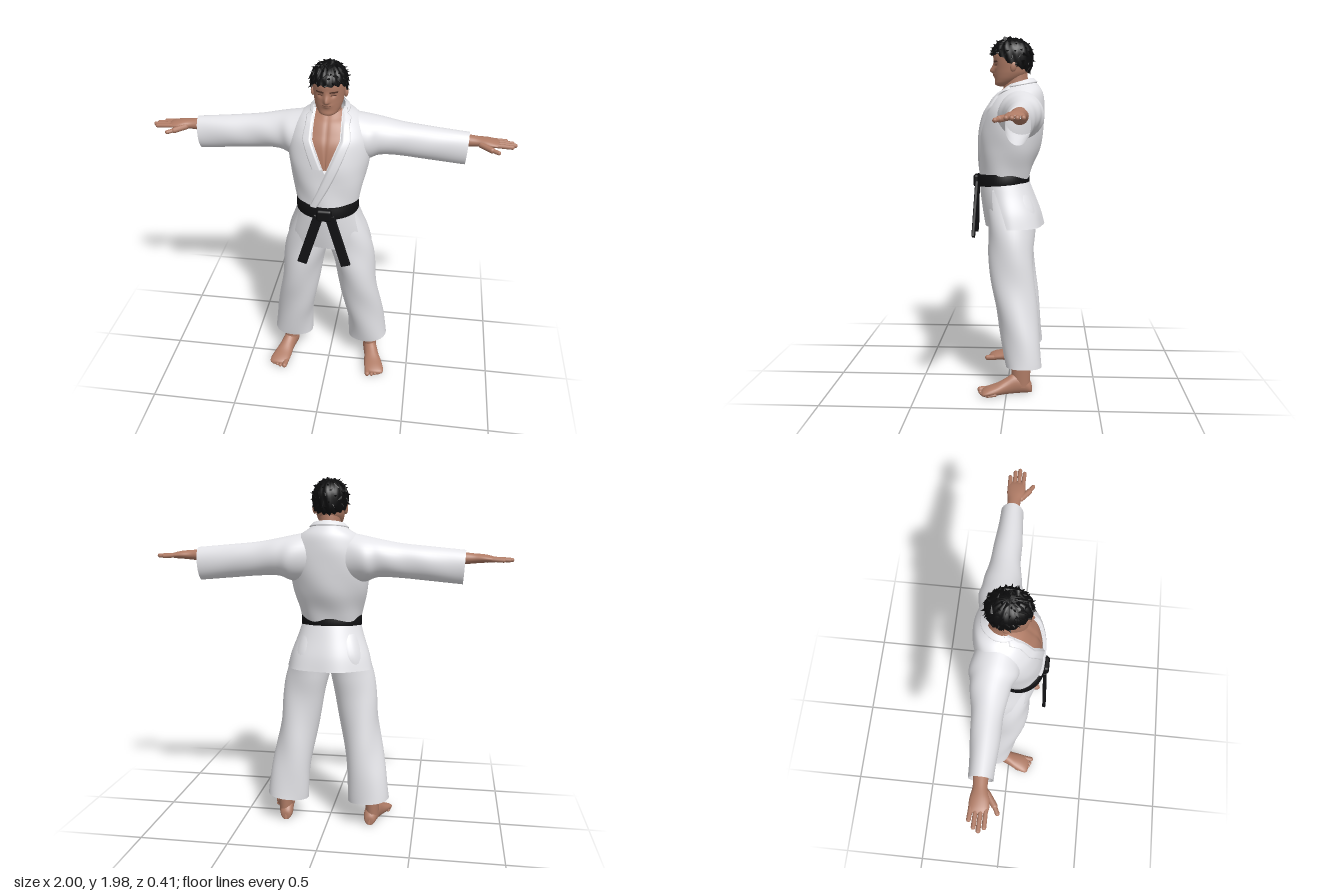
import * as THREE from 'three';
import { mergeVertices } from 'three/addons/utils/BufferGeometryUtils.js';
import { RoundedBoxGeometry } from 'three/addons/geometries/RoundedBoxGeometry.js';

const TAU = Math.PI * 2, { sin, cos, abs, min, max, exp } = Math;
const mat = (name, color, side = THREE.FrontSide) => {
  const m = new THREE.MeshStandardMaterial({ color, side });
  m.name = name;
  return m;
};

// Smooth sample of a table of cross-sections, v from 0 to 1
function at(rows, v) {
  const n = rows.length - 1, f = min(max(v, 0) * n, n - 1e-6), i = Math.floor(f), t = f - i;
  const [a, b, c, d] = [rows[max(i - 1, 0)], rows[i], rows[i + 1], rows[min(i + 2, n)]];
  return b.map((_, k) => b[k] + 0.5 * t * (c[k] - a[k] + t * (2 * a[k] - 5 * b[k] + 4 * c[k] - d[k]
    + t * (3 * (b[k] - c[k]) + d[k] - a[k]))));
}

// Surface from fn(u, v) -> [x, y, z]; seams are welded for smooth normals
function surf(fn, cols, rows) {
  const pos = [], idx = [], w = cols + 1;
  for (let j = 0; j <= rows; j++) for (let i = 0; i <= cols; i++) pos.push(...fn(i / cols, j / rows));
  for (let j = 0; j < rows; j++) for (let i = 0; i < cols; i++) {
    const a = j * w + i;
    idx.push(a, a + 1, a + w + 1, a, a + w + 1, a + w);
  }
  let g = new THREE.BufferGeometry();
  g.setAttribute('position', new THREE.Float32BufferAttribute(pos, 3));
  g.setIndex(idx);
  g = mergeVertices(g, 1e-5);
  g.computeVertexNormals();
  return g;
}
const mirrored = (fn) => (u, v) => { const [x, y, z] = fn(1 - u, v); return [-x, y, z]; };

// Upright section rows [y, halfWidth, zFront, zBack, frontDrop]; angle 0 faces the front
const body = (rows) => (th, v, off = 0) => {
  const [y, hw, zf, zb, drop = 0] = at(rows, v);
  return [(hw + off) * sin(th), y - drop * (1 + cos(th)) / 2, (zf + zb) / 2 + ((zf - zb) / 2 + off) * cos(th)];
};

export function createModel() {
  const root = new THREE.Group();
  const cloth = mat('white cloth', 0xe8e8ec, THREE.DoubleSide);
  const skin = mat('skin', 0xb07c66, THREE.DoubleSide);
  const black = mat('black belt cloth', 0x111113, THREE.DoubleSide);
  const hairMat = mat('black hair', 0x0b0b0c, THREE.DoubleSide);
  const brown = mat('brow brown', 0x5a3a2e, THREE.DoubleSide);
  const add = (name, geo, m, parent = root) => {
    const mesh = new THREE.Mesh(geo, m);
    mesh.name = name;
    parent.add(mesh);
    return mesh;
  };
  const pair = (name, fn, cols, rows, m) => {
    add('left ' + name, surf(fn, cols, rows), m);
    add('right ' + name, surf(mirrored(fn), cols, rows), m);
  };
  const capsule = (name, a, b, r, flat, m) => {
    const p = new THREE.Vector3(...a), q = new THREE.Vector3(...b), d = q.clone().sub(p);
    const mesh = add(name, new THREE.CapsuleGeometry(r, d.length(), 5, 10), m);
    mesh.position.copy(p).add(q).multiplyScalar(0.5);
    mesh.quaternion.setFromUnitVectors(new THREE.Vector3(0, 1, 0), d.normalize());
    mesh.scale.z = flat;
  };

  // Jacket body with an open V at the chest
  const torsoRows = [[1.16, .163, .168, -.11, 0], [1.25, .182, .165, -.135, 0], [1.35, .207, .164, -.175, 0],
    [1.45, .222, .16, -.195, 0], [1.55, .222, .14, -.203, 0], [1.62, .205, .108, -.2, .01],
    [1.675, .165, .078, -.19, .02], [1.715, .115, .052, -.165, .035], [1.75, .082, .03, -.13, .05]];
  const torso = body(torsoRows);
  const edge = (v, dx = 0) => {
    const [y, hw] = at(torsoRows, v);
    return Math.asin(max(-1, min(.92, (min(.075, .42 * (y - 1.41)) + dx) / hw)));
  };
  add('jacket body', surf((u, v) => {
    const e = max(0, edge(v)), th = e + u * (TAU - 2 * e);
    return torso(th, v, .003 * sin(th * 5 + v * 17) * (1 - v));
  }, 72, 48), cloth);
  add('chest', surf((u, v) => {
    const w = .35 + v * .65, e = max(0, edge(w)) * 1.15;
    return torso((u * 2 - 1) * e, w, -.008 - .004 * exp(-(((u - .5) * 14) ** 2)));
  }, 20, 30), skin);

  // Lapels: the left one crosses over and runs down to the belt
  const lapel = (v0, lift) => (u, v) => {
    const w = v0 + v * (1 - v0), a = edge(w), b = max(edge(w, .042), a + .3);
    return torso(a + (b - a) * u, w, -.006 + lift * min(1, 6 * min(u, 1 - u)));
  };
  add('left lapel', surf(lapel(.02, .018), 12, 48), cloth);
  add('right lapel', surf(mirrored(lapel(.36, .014)), 12, 36), cloth);
  add('collar', surf((u, v) => {
    const w = .9 + .1 * v, e = edge(w);
    return torso(e + u * (TAU - 2 * e), w, .01 * min(1, v * 5));
  }, 40, 8), cloth);

  // Jacket skirt: front and back panels with a slit on each side
  const skirt = body([[.92, .245, .13, -.203], [1.0, .226, .145, -.183], [1.1, .19, .16, -.145], [1.19, .162, .168, -.11]]);
  const slit = (v) => .24 * Math.sqrt(max(0, 1 - v / .78));
  const wave = (th, v) => .005 * sin(th * 6) * (1 - v);
  add('front skirt panel', surf((u, v) => {
    const th = (u * 2 - 1) * (1.12 - slit(v));
    return skirt(th, v, wave(th, v));
  }, 36, 24), cloth);
  add('back skirt panel', surf((u, v) => {
    const e = 1.12 + slit(v), th = e + u * (TAU - 2 * e);
    return skirt(th, v, wave(th, v));
  }, 48, 24), cloth);

  // Sleeves, rows [x, yTop, yBottom, zFront, zBack]
  const sleeveRows = [[.08, 1.69, 1.42, .06, -.18], [.2, 1.667, 1.415, .05, -.2], [.28, 1.65, 1.442, .02, -.188],
    [.4, 1.628, 1.44, 0, -.168], [.56, 1.612, 1.426, -.008, -.153], [.74, 1.595, 1.41, -.018, -.142]];
  pair('sleeve', (u, v) => {
    const [x, t, b, f, k] = at(sleeveRows, v), a = u * TAU, w = 1 + .02 * sin(a * 2 + v * 22);
    return [x + .006 * cos(a) * v, (t + b) / 2 + (t - b) / 2 * cos(a), (f + k) / 2 + (f - k) / 2 * sin(a) * w];
  }, 36, 40, cloth);

  // Trouser legs, rows [y, xInner, xOuter, zFront, zBack]
  const legRows = [[.15, .122, .36, .002, -.196], [.3, .112, .336, .03, -.187], [.45, .09, .31, .06, -.17],
    [.6, .065, .287, .088, -.153], [.75, .035, .272, .104, -.146], [.88, .002, .25, .11, -.152],
    [1.0, -.02, .215, .115, -.155], [1.12, -.02, .165, .115, -.115]];
  pair('trouser leg', (u, v) => {
    const [y, i, o, f, k] = at(legRows, v), a = u * TAU, w = .004 * sin(a * 3 + v * 14);
    return [(i + o) / 2 + ((o - i) / 2 + w) * sin(a), y + .014 * sin(a) * (1 - v), (f + k) / 2 + ((f - k) / 2 + w) * cos(a)];
  }, 40, 48, cloth);

  // Belt, knot and hanging ends
  add('belt', surf((u, v) => {
    const th = u * TAU, p = [[0, -.034], [.014, -.032], [.014, .032], [0, .034]][Math.round(v * 3)];
    return [(.16 + p[0]) * sin(th), 1.188 - .012 * cos(th) + p[1], .031 + (.137 + p[0]) * cos(th)];
  }, 64, 3), black);
  add('belt knot', new RoundedBoxGeometry(.085, .07, .04, 3, .015), black).position.set(0, 1.172, .182);
  for (const s of [1, -1]) {
    const end = add(s > 0 ? 'left belt end' : 'right belt end', new RoundedBoxGeometry(.055, .32, .018, 2, .005), black);
    end.position.set(s * .078, 1.012, .188);
    end.rotation.set(-.05, 0, s * .3);
  }

  // Forearms and hands, rows [x, y, halfHeight, z, halfDepth]
  const armRows = [[.5, 1.545, .045, -.08, .045], [.66, 1.55, .038, -.08, .042], [.74, 1.55, .032, -.078, .037],
    [.79, 1.55, .027, -.075, .036], [.84, 1.55, .023, -.071, .048], [.885, 1.547, .017, -.071, .049], [.91, 1.545, .008, -.071, .042]];
  pair('forearm', (u, v) => {
    const [x, y, h, z, d] = at(armRows, v), a = u * TAU;
    return [x, y + h * cos(a), z + d * sin(a)];
  }, 24, 28, skin);
  const fingers = [[-.108, -.112, .942], [-.084, -.086, .975], [-.06, -.062, .989], [-.037, -.036, .972]];
  for (const s of [1, -1]) {
    for (const [z0, z1, tip] of fingers) capsule('finger', [s * .88, 1.547, z0], [s * tip, 1.543, z1], .0115, 1, skin);
    capsule('thumb', [s * .81, 1.545, -.04], [s * .865, 1.537, .0], .016, 1, skin);
    capsule('thumb tip', [s * .865, 1.537, 0], [s * .9, 1.532, .018], .0115, 1, skin);
  }

  // Ankles, feet and toes; foot rows [z, x, halfWidth, top]
  pair('ankle', (u, v) => {
    const a = u * TAU, r = 1 + .25 * v;
    return [.258 + .038 * r * sin(a), .04 + .32 * v, -.08 + .05 * r * cos(a)];
  }, 24, 8, skin);
  const footRows = [[-.142, .248, .003, .035], [-.135, .249, .028, .06], [-.1, .252, .04, .1], [-.05, .262, .043, .115],
    [0, .276, .046, .088], [.05, .29, .055, .062], [.1, .301, .059, .045], [.13, .305, .048, .03], [.138, .305, .003, .018]];
  pair('foot', (u, v) => {
    const [z, x, w, top] = at(footRows, v), a = u * TAU;
    return [x + w * cos(a), max(.004, top / 2 + (top / 2) * sin(a) * 1.05), z];
  }, 28, 28, skin);
  for (const s of [1, -1]) for (let i = 0; i < 5; i++) {
    const r = i ? .0115 - i * .0006 : .016, x = [.264, .291, .311, .33, .346][i];
    capsule('toe', [s * (x - .006), r + .004, .095 - i * .009], [s * x, r, .148 - i * i * .0028], r, 1, skin);
  }

  // Neck
  const neck = body([[1.6, .11, .06, -.13], [1.66, .076, .035, -.12], [1.71, .061, .03, -.11], [1.78, .06, .03, -.105]]);
  add('neck', surf((u, v) => neck(u * TAU, v), 32, 14), skin);

  // Head with nose, lips and eye sockets
  const headBase = body([[1.703, .012, .05, .02], [1.714, .045, .077, -.02], [1.74, .065, .078, -.065], [1.77, .076, .08, -.1],
    [1.80, .081, .081, -.112], [1.84, .085, .085, -.116], [1.88, .086, .087, -.117], [1.93, .076, .07, -.11], [1.965, .02, .01, -.05]]);
  const head = (th, v, off = 0) => {
    const t = Math.atan2(sin(th), cos(th)), p = headBase(th, v, off), y = p[1];
    const nose = y > 1.788 ? exp(-(((y - 1.788) / .03) ** 2)) : exp(-(((y - 1.788) / .01) ** 2));
    p[2] += .026 * nose * exp(-((t / .17) ** 2)) + .009 * exp(-((t / .28) ** 2) - (((y - 1.765) / .012) ** 2))
      - .01 * exp(-(((abs(t) - .42) / .2) ** 2) - (((y - 1.822) / .013) ** 2));
    return p;
  };
  add('head', surf((u, v) => head(u * TAU, v), 72, 60), skin);
  const mark = (t0, t1, v0, v1) => (u, v) => head(t0 + (t1 - t0) * u, v0 + (v1 - v0) * v, .002);
  pair('eyebrow', mark(.17, .72, .61, .638), 10, 3, brown);
  pair('eye line', mark(.24, .6, .56, .572), 8, 2, brown);
  add('mouth', surf(mark(-.3, .3, .362, .372), 12, 2), brown);
  for (const s of [1, -1]) {
    const ear = add('ear', new THREE.SphereGeometry(1, 14, 10), skin);
    ear.scale.set(.012, .03, .018);
    ear.position.set(s * .087, 1.81, -.03);
    ear.rotation.set(-.2, s * .3, 0);
  }

  // Hair cap with a lower edge that drops from the brow to the nape
  const hair = (th, v) => {
    const c = cos(th), low = c > 0 ? 1.815 + .062 * min(1, c * 1.6) : 1.815 - .04 * -c;
    const lat = Math.asin(max(-1, (low - 1.875) / .1)), a = lat + (Math.PI / 2 - lat) * v;
    const r = (a < 0 ? cos(a * .45) : cos(a)) * (1 + .03 * sin(th * 13 + v * 9) * (1 - v));
    return [.099 * r * sin(th), 1.875 + .095 * sin(a) + .006 * sin(th * 17) * (1 - v), -.018 + .118 * r * c];
  };
  add('hair', surf((u, v) => hair(u * TAU, v), 72, 24), hairMat);

  // Short tufts scattered over the hair
  const tufts = new THREE.Group();
  tufts.name = 'hair tufts';
  root.add(tufts);
  let seed = 7;
  const rnd = () => (seed = (seed * 16807) % 2147483647) / 2147483647;
  for (let i = 0; i < 90; i++) {
    const th = i * 2.39996, v = .04 + .85 * (i / 90);
    const p = new THREE.Vector3(...hair(th, v)), out = p.clone().sub(new THREE.Vector3(0, 1.875, -.018)).normalize();
    const dir = out.clone().multiplyScalar(.5).add(new THREE.Vector3(rnd() - .5, rnd() * .6 - .55, rnd() * .8 - .2)).normalize();
    const tuft = add('tuft', new THREE.ConeGeometry(.013, .04, 5), hairMat, tufts);
    tuft.position.copy(p).addScaledVector(out, -.003);
    tuft.quaternion.setFromUnitVectors(new THREE.Vector3(0, 1, 0), dir);
  }
  return root;
}
